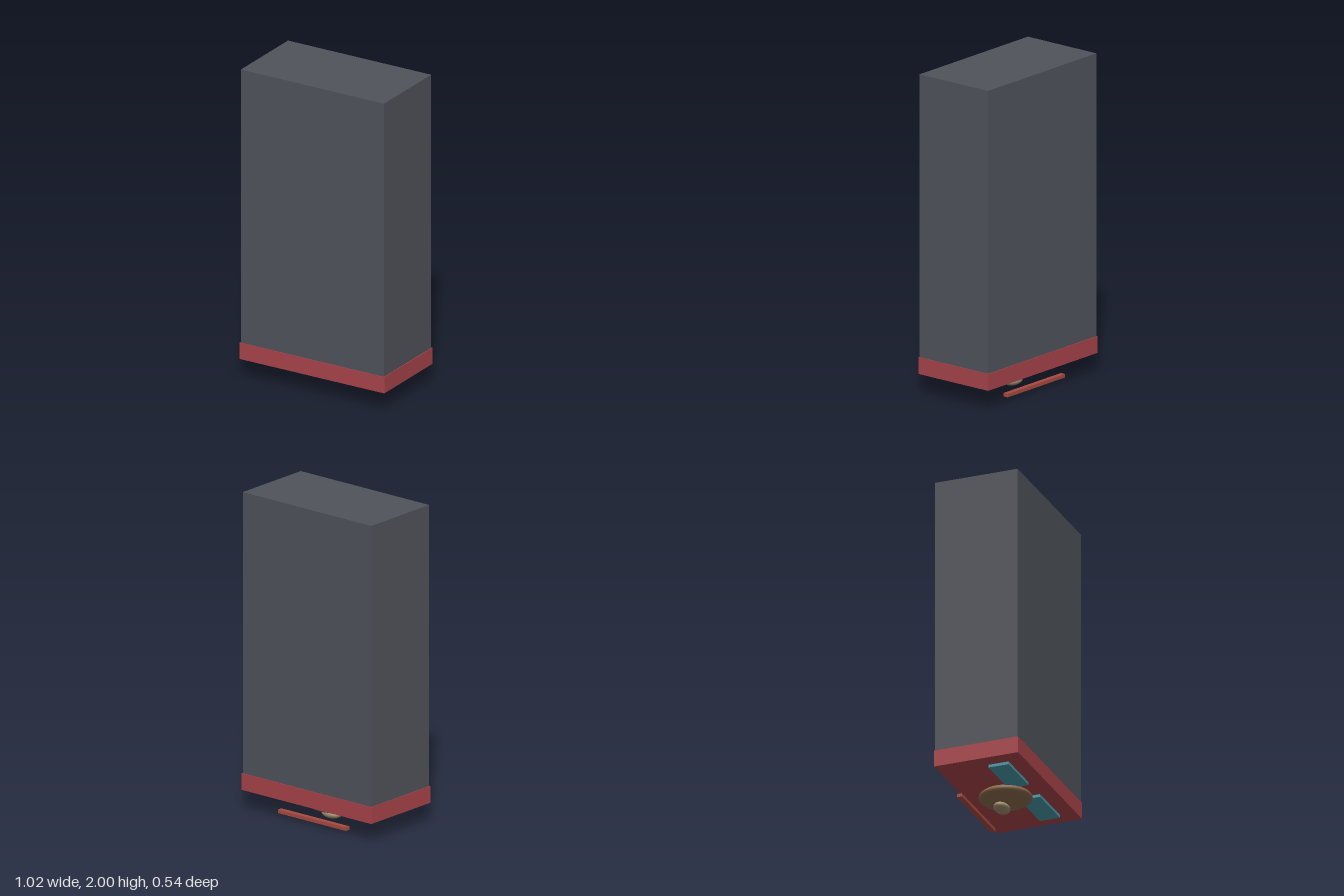
import * as THREE from 'three';

const mat = (color) => new THREE.MeshStandardMaterial({ color });

export function createModel() {
  const model = new THREE.Group();

  // box given by its lower and upper corners
  const box = (name, material, [x0, y0, z0], [x1, y1, z1]) => {
    const mesh = new THREE.Mesh(new THREE.BoxGeometry(x1 - x0, y1 - y0, z1 - z0), material);
    mesh.position.set((x0 + x1) / 2, (y0 + y1) / 2, (z0 + z1) / 2);
    mesh.name = name;
    model.add(mesh);
  };

  // smooth ellipsoid given by centre and radii
  const ellipsoid = (name, material, centre, radii) => {
    const mesh = new THREE.Mesh(new THREE.SphereGeometry(1, 32, 20).scale(...radii), material);
    mesh.position.set(...centre);
    mesh.name = name;
    model.add(mesh);
  };

  const grey = mat(0x50535b);
  const red = mat(0xa8444a);
  const teal = mat(0x4a9aa8);
  const brown = mat(0x8a6a4c);
  const tan = mat(0xa08c6c);
  const barRed = mat(0xa84a40);

  // tall block on a slightly wider base
  box('body', grey, [-0.505, 0.225, -0.267], [0.505, 2, 0.267]);
  box('base', red, [-0.51, 0.125, -0.272], [0.51, 0.23, 0.272]);

  // pair of thin panels under the base
  box('leftPanel', teal, [0.09, 0.107, 0.04], [0.41, 0.127, 0.17]);
  box('rightPanel', teal, [-0.41, 0.107, 0.04], [-0.09, 0.127, 0.17]);

  // flattened dome with a small knob below it
  ellipsoid('dome', brown, [0, 0.093, -0.015], [0.163, 0.047, 0.163]);
  ellipsoid('knob', tan, [0, 0.03, -0.04], [0.07, 0.03, 0.047]);

  // thin bar beneath the rear
  box('bar', barRed, [-0.267, 0.018, -0.222], [0.267, 0.04, -0.19]);

  return model;
}
